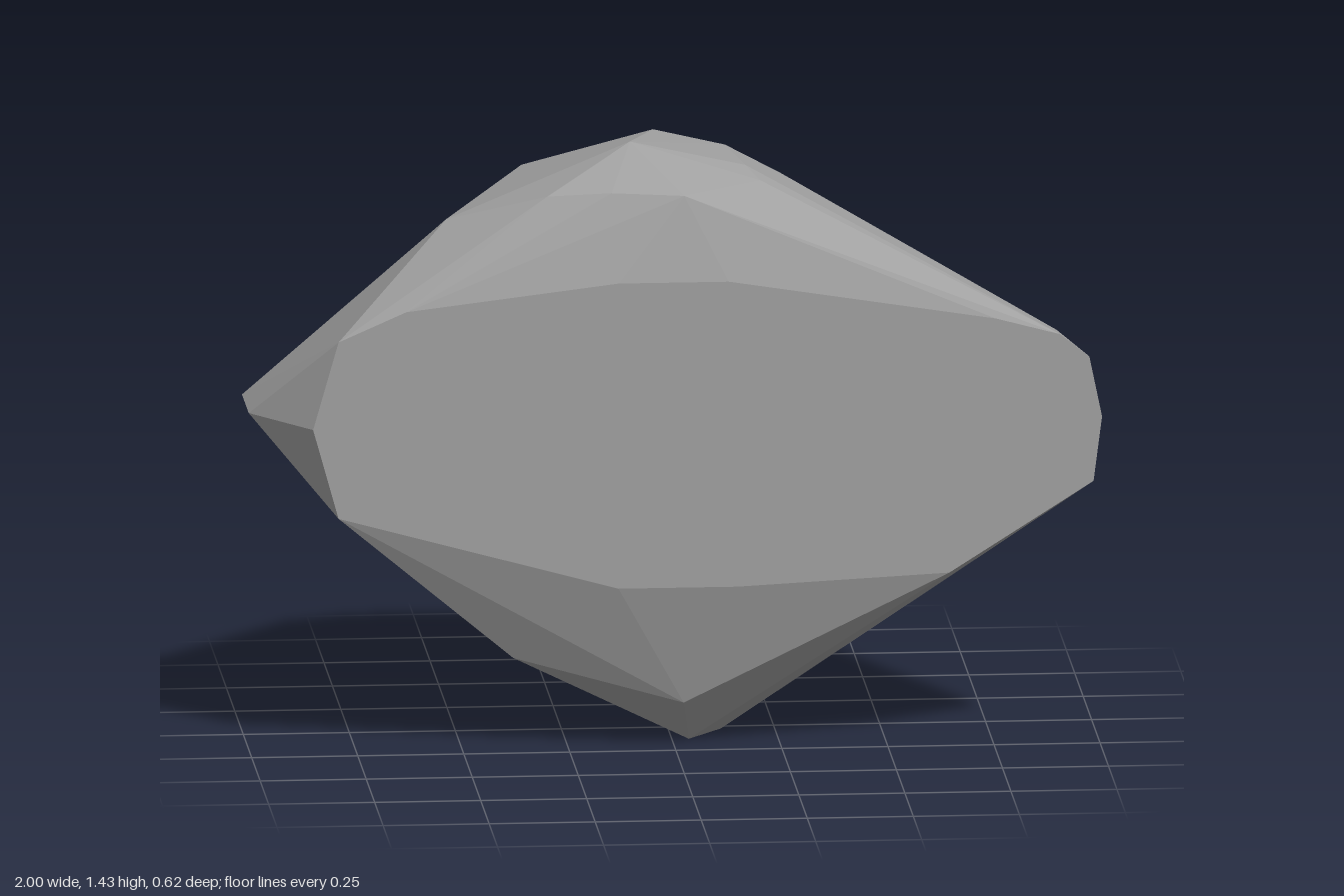
import * as THREE from 'three';
import { ConvexGeometry } from 'three/addons/geometries/ConvexGeometry.js';

// Flat outline [x, y] placed at one depth
const outline = (z, pts) => pts.map(([x, y]) => new THREE.Vector3(x, y, z));

export function createModel() {
  const stone = new THREE.MeshStandardMaterial({ color: 0xa0a0a0 });
  stone.name = 'greyStone';

  // Broad cut face at the front
  const front = outline(0.31, [
    [-0.86, 0.8], [-0.8, 1.01], [-0.64, 1.08], [-0.14, 1.14], [0.12, 1.14],
    [0.75, 1.04], [0.9, 1.0], [0.97, 0.945], [1.0, 0.8], [0.98, 0.645],
    [0.64, 0.43], [0.14, 0.405], [-0.14, 0.405], [-0.8, 0.585],
  ]);

  // Rounded cut face at the back, drawn out to a point on one side
  const back = outline(-0.31, [
    [0.71, 0.8], [0.243, 1.2], [0.043, 1.28], [-0.163, 1.28], [-0.363, 1.19],
    [-0.49, 1.06], [-0.56, 0.89], [-0.56, 0.69], [-0.49, 0.53],
    [-0.36, 0.38], [-0.17, 0.31], [0.023, 0.3], [0.23, 0.39],
  ]);

  // Chipped ring just in front of the back face
  const rim = outline(-0.18, [
    [0.28, 1.29], [0.15, 1.36], [-0.02, 1.4], [-0.33, 1.32], [-0.48, 1.18],
    [-0.25, 0.25], [0.0, 0.195], [0.33, 0.34],
  ]);

  // Ridges, tips and corners between the two faces
  const ridges = [
    [-0.095, 1.43, 0.08], [0.18, 1.362, 0.05], [0.21, 1.34, 0.12],
    [-0.53, 1.255, 0.1], [-0.3, 1.33, 0.21], [-0.15, 1.34, 0.23], [0.02, 1.335, 0.25],
    [-1, 0.81, 0.16], [-1, 0.81, -0.04],
    [0.9, 0.99, 0.22], [0.92, 0.62, 0.22], [0.66, 0.44, 0.07],
    [-0.53, 0.35, 0.21], [-0.38, 0.22, 0.21],
    [0.02, 0.11, 0.23], [0.04, 0, 0.13], [0.12, 0.01, 0.07],
  ].map((p) => new THREE.Vector3(...p));

  const rock = new THREE.Mesh(new ConvexGeometry([...front, ...back, ...rim, ...ridges]), stone);
  rock.name = 'rock';

  const model = new THREE.Group();
  model.name = 'facetedRock';
  model.add(rock);
  return model;
}
